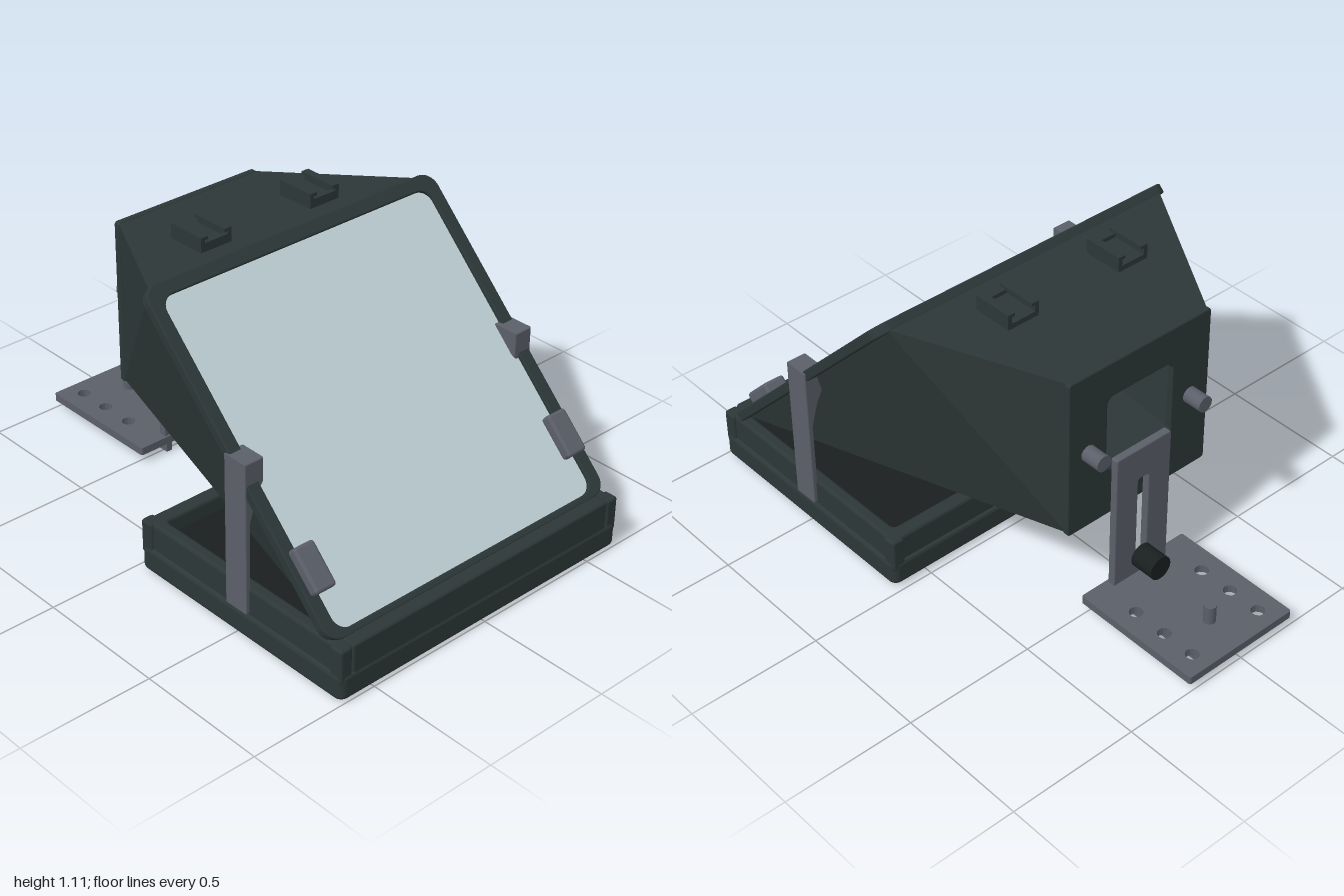
import * as THREE from 'three';
import { RoundedBoxGeometry } from 'three/addons/geometries/RoundedBoxGeometry.js';

const mat = (name, color, side = THREE.FrontSide) => {
  const m = new THREE.MeshStandardMaterial({ color, side });
  m.name = name;
  return m;
};

// Rounded rectangle outline, centred on (cx, cy)
function roundRect(w, h, r, cx = 0, cy = 0, Type = THREE.Shape) {
  const s = new Type(), x = w / 2, y = h / 2;
  const corners = [[x - r, y - r, 0], [r - x, y - r, 1], [r - x, r - y, 2], [x - r, r - y, 3]];
  corners.forEach(([px, py, q]) => s.absarc(cx + px, cy + py, r, q * Math.PI / 2, (q + 1) * Math.PI / 2, false));
  s.closePath();
  return s;
}

const extrude = (shape, depth, bevel = 0) => new THREE.ExtrudeGeometry(shape, {
  depth: depth - 2 * bevel, bevelEnabled: bevel > 0, bevelSize: bevel, bevelThickness: bevel,
  bevelOffset: -bevel, bevelSegments: 2, curveSegments: 6,
}).translate(0, 0, bevel);

export function createModel() {
  const model = new THREE.Group();
  model.name = 'prompterStand';

  const body = mat('charcoal body', 0x2d3737);
  const shell = mat('charcoal shell', 0x2d3737, THREE.DoubleSide);
  const metal = mat('grey metal', 0x5b5f69);
  const glassMat = mat('pale glass', 0xc0d1d6);
  const dark = mat('dark interior', 0x1a1f20, THREE.DoubleSide);

  const add = (name, geo, m, x = 0, y = 0, z = 0, parent = model) => {
    const mesh = new THREE.Mesh(geo, m);
    mesh.name = name;
    mesh.position.set(x, y, z);
    parent.add(mesh);
    return mesh;
  };
  // Box from its limits, with optional edge rounding
  const box = (name, m, [x0, x1], [y0, y1], [z0, z1], r = 0, parent = model) => {
    const d = [x1 - x0, y1 - y0, z1 - z0];
    const geo = r ? new RoundedBoxGeometry(...d, 2, r) : new THREE.BoxGeometry(...d);
    return add(name, geo, m, (x0 + x1) / 2, (y0 + y1) / 2, (z0 + z1) / 2, parent);
  };

  // --- Tray: skirt, upper wall, floor, corner posts and front panel
  const tray = new THREE.Group();
  tray.name = 'tray';
  model.add(tray);
  const wall = (name, w, d, y0, y1, bevel) => {
    const s = roundRect(w, d, 0.03);
    s.holes.push(roundRect(1.17, 0.84, 0.02, 0, 0, THREE.Path));
    add(name, extrude(s, y1 - y0, bevel).rotateX(-Math.PI / 2), body, 0, y0, 0.51, tray);
  };
  wall('traySkirt', 1.29, 0.98, 0.01, 0.1, 0.012);
  wall('trayUpperWall', 1.264, 0.955, 0.09, 0.2, 0.01);
  box('trayBottom', body, [-0.62, 0.62], [0.012, 0.05], [0.05, 0.97], 0, tray);
  box('trayScreen', dark, [-0.59, 0.59], [0.05, 0.14], [0.08, 0.94], 0, tray);
  box('trayFrontPanel', body, [-0.59, 0.59], [0.07, 0.203], [0.94, 0.996], 0.01, tray);
  for (const s of [-1, 1]) for (const z of [0.05, 0.97])
    box('trayCorner', body, [s * 0.616 - 0.025, s * 0.616 + 0.025], [0.07, 0.2], [z - 0.028, z + 0.026], 0.01, tray);

  // --- Hood: tapered shell from the sloped frame to the back panel
  const front = [[-0.6, 0.205, 0.915], [0.6, 0.205, 0.915], [0.6, 1.065, 0.055], [-0.6, 1.065, 0.055]];
  const back = [[-0.305, 0.385, -0.475], [0.305, 0.385, -0.475], [0.305, 0.998, -0.475], [-0.305, 0.998, -0.475]];
  const pos = [];
  for (let i = 0; i < 4; i++) {
    const j = (i + 1) % 4, [a, b, c, d] = [front[i], back[i], back[j], front[j]];
    const tris = i === 3 ? [a, b, c, a, c, d] : [a, b, d, b, c, d];
    tris.forEach(p => pos.push(...p));
  }
  const hoodGeo = new THREE.BufferGeometry();
  hoodGeo.setAttribute('position', new THREE.Float32BufferAttribute(pos, 3));
  hoodGeo.computeVertexNormals();
  add('hood', hoodGeo, shell);

  // Back panel with the camera opening
  const panel = roundRect(0.625, 0.625, 0.012, 0, 0.69);
  panel.holes.push(roundRect(0.29, 0.3, 0.03, 0, 0.715, THREE.Path));
  add('backPanel', extrude(panel, 0.025, 0.005), body, 0, 0, -0.49);

  // --- Sloped frame with glass
  const slope = new THREE.Group();
  slope.name = 'slopedFrame';
  slope.position.set(0, 0.645, 0.507);
  slope.rotation.x = -Math.PI / 4;
  model.add(slope);
  const frame = roundRect(1.28, 1.25, 0.06);
  frame.holes.push(roundRect(1.18, 1.174, 0.05, 0, -0.014, THREE.Path));
  add('frame', extrude(frame, 0.036, 0.005), body, 0, 0, -0.036, slope);
  add('glass', new THREE.ShapeGeometry(roundRect(1.19, 1.184, 0.05, 0, -0.014)), glassMat, 0, 0, -0.014, slope);
  add('glassBacking', new THREE.ShapeGeometry(roundRect(1.19, 1.184, 0.05, 0, -0.014)), dark, 0, 0, -0.022, slope);

  for (const s of [-1, 1]) {
    // Glass clips
    const clip = add('glassClip', new RoundedBoxGeometry(0.086, 0.16, 0.045, 2, 0.012), metal, s * 0.578, -0.39, 0.016, slope);
    clip.rotation.x = 0;

    // Side straps hooked over the frame
    const strap = new THREE.Shape([[0.646, 0.105], [0.646, 0.672], [0.57, 0.672], [0.57, 0.585],
      [0.6, 0.53], [0.626, 0.44], [0.626, 0.105]].map(([x, y]) => new THREE.Vector2(s * x, y)));
    add('sideStrap', extrude(strap, 0.1, 0.004), metal, 0, 0, 0.46);

    // Accessory shoes on top of the hood
    const shoe = new THREE.Group();
    shoe.name = 'accessoryShoe';
    shoe.position.set(s * 0.24, 0, -0.117);
    model.add(shoe);
    box('shoeStem', body, [-0.045, 0.045], [1.02, 1.055], [-0.06, 0.06], 0, shoe);
    box('shoeBase', body, [-0.064, 0.064], [1.05, 1.07], [-0.077, 0.077], 0, shoe);
    for (const t of [-1, 1]) {
      box('shoeWall', body, [t * 0.057 - 0.008, t * 0.057 + 0.008], [1.06, 1.107], [-0.077, 0.077], 0, shoe);
      box('shoeLip', body, [t * 0.047 - 0.012, t * 0.047 + 0.012], [1.095, 1.107], [-0.077, 0.077], 0, shoe);
    }
    box('shoeStop', body, [-0.055, 0.055], [1.06, 1.085], [0.06, 0.077], 0, shoe);

    // Thumb knobs on the back
    add('backKnob', new THREE.CylinderGeometry(0.03, 0.03, 0.08, 20).rotateX(Math.PI / 2), metal, s * 0.228, 0.69, -0.525);

    // Rails under the mounting plate
    box('plateRail', metal, [s * 0.11 - 0.012, s * 0.11 + 0.012], [0, 0.04], [-0.975, -0.48]);
  }

  // --- Slotted upright
  const upright = roundRect(0.245, 0.56, 0.008, 0, 0.33);
  upright.holes.push(roundRect(0.048, 0.37, 0.01, 0, 0.295, THREE.Path));
  add('slottedUpright', extrude(upright, 0.03, 0.004), metal, 0, 0, -0.518);
  add('lockKnob', new THREE.CylinderGeometry(0.046, 0.046, 0.095, 24).rotateX(Math.PI / 2), dark, 0, 0.135, -0.567);

  // --- Mounting plate with bored holes and a locating pin
  const plate = roundRect(0.475, 0.52, 0.008, 0, 0.74);
  for (const x of [-0.155, 0.155]) for (const z of [0.66, 0.795, 0.925]) {
    const hole = new THREE.Path();
    hole.absarc(x, z, 0.025, 0, Math.PI * 2, true);
    plate.holes.push(hole);
  }
  add('mountingPlate', extrude(plate, 0.03).rotateX(-Math.PI / 2), metal, 0, 0.033, 0);
  add('locatingPin', new THREE.CylinderGeometry(0.022, 0.022, 0.075, 16), metal, 0, 0.097, -0.85);

  return model;
}
